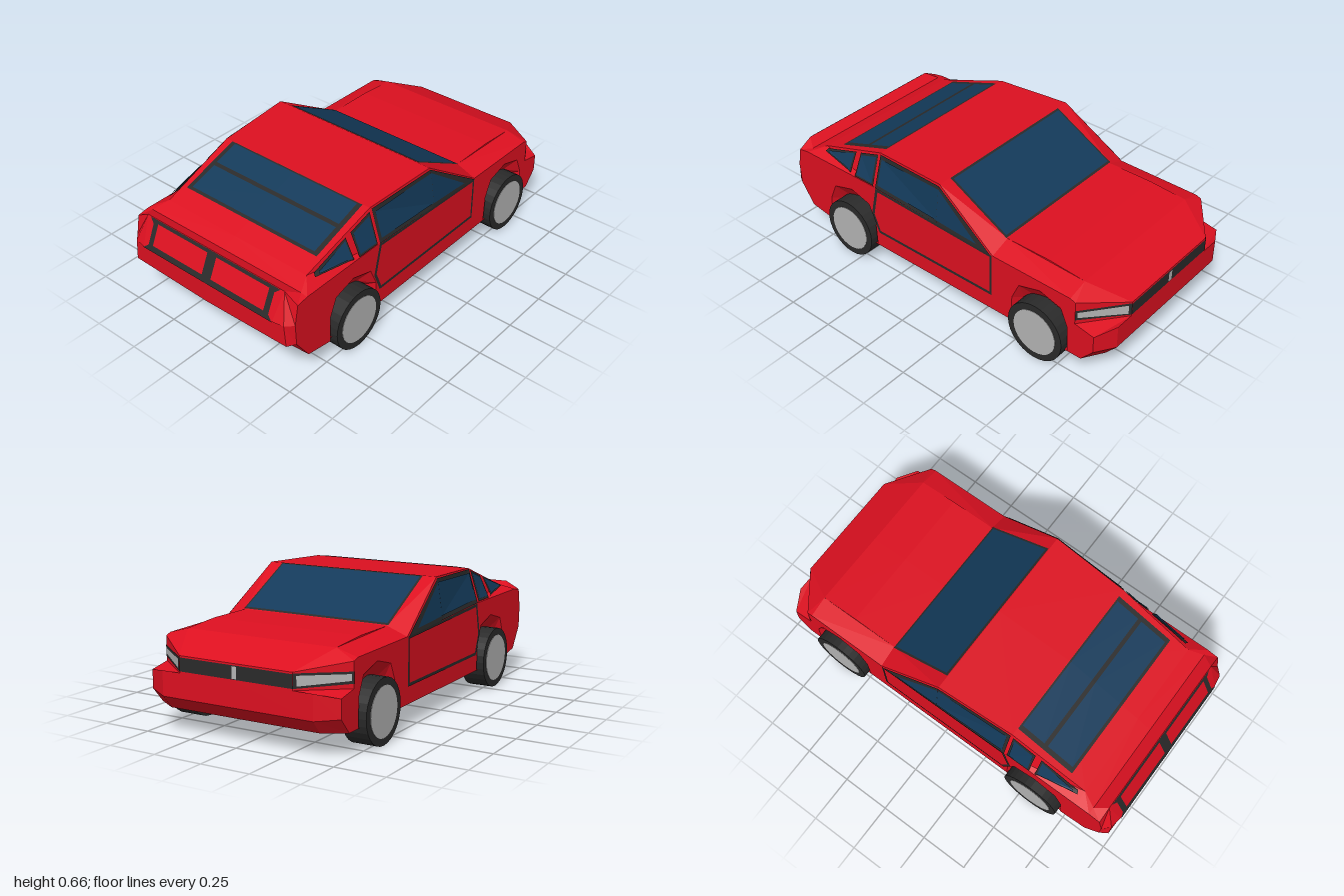
import * as THREE from 'three';

const paint = (color) => new THREE.MeshStandardMaterial({ color, flatShading: true, side: THREE.DoubleSide });
const RED = paint(0xdd1020), GLASS = paint(0x133a5a), BLACK = paint(0x2a2a2a), GREY = paint(0xb4b4b4);
const W = 0.505; // half width of the body

// Mesh from polygons on the +x half, mirrored to -x; lift moves each polygon outwards
function surface(name, material, polys, lift = 0) {
  const out = [];
  for (const poly of polys) {
    const p = poly.map((a) => new THREE.Vector3(...a));
    for (let i = 1; i < p.length - 1; i++) {
      const t = [p[0], p[i], p[i + 1]];
      const n = t[1].clone().sub(t[0]).cross(t[2].clone().sub(t[0])).normalize();
      const c = t[0].clone().add(t[1]).add(t[2]).divideScalar(3);
      const axis = new THREE.Vector3(0, 0.3, THREE.MathUtils.clamp(c.z, -0.8, 0.8));
      if (n.dot(c.sub(axis)) < 0) { n.negate(); t.reverse(); }
      const v = t.map((q) => q.clone().addScaledVector(n, lift));
      // keep the centre line closed
      v.forEach((q, k) => { if (t[k].x === 0) q.x = 0; });
      for (const q of v) out.push(q.x, q.y, q.z);
      for (const q of [v[2], v[1], v[0]]) out.push(-q.x, q.y, q.z);
    }
  }
  const g = new THREE.BufferGeometry();
  g.setAttribute('position', new THREE.Float32BufferAttribute(out, 3));
  g.computeVertexNormals();
  const m = new THREE.Mesh(g, material);
  m.name = name;
  return m;
}

// Triangles of a [z, y] outline (with optional hole) on the flat body side
function sideTriangles(outline, hole) {
  const v2 = (a) => a.map(([z, y]) => new THREE.Vector2(z, y));
  const all = hole ? [...outline, ...hole] : outline;
  return THREE.ShapeUtils.triangulateShape(v2(outline), hole ? [v2(hole)] : [])
    .map((f) => f.map((i) => [W, all[i][1], all[i][0]]));
}

// Cabin stations: z, belt height, roof edge height, roof edge half width
const cabin = [[-0.365, 0.435, 0.435, W], [-0.02, 0.45, 0.66, 0.475], [0.39, 0.47, 0.645, 0.45], [0.8, 0.47, 0.505, 0.435]];
const belt = (i) => [W, cabin[i][1], cabin[i][0]];
const roof = (i) => [cabin[i][3], cabin[i][2], cabin[i][0]];

// Point on the leaning cabin side at a given z and y
function onCabin([z, y]) {
  let i = 0;
  while (i < 2 && z > cabin[i + 1][0]) i++;
  const [a, b] = [cabin[i], cabin[i + 1]];
  const k = (z - a[0]) / (b[0] - a[0]);
  const [, lo, hi, x] = a.map((v, j) => v + (b[j] - v) * k);
  return [W + (x - W) * (y - lo) / Math.max(hi - lo, 0.001), y, z];
}
const cabinPanel = (name, mat, polys, lift) => surface(name, mat, polys.map((p) => p.map(onCabin)), lift);

// Quad on a sloped panel that is symmetric about x = 0
const quad = (f, x0, x1, a, b) => [f(x0, a), f(x1, a), f(x1, b), f(x0, b)];
const onScreen = (x, z) => [x, 0.475 + (z + 0.365) * 0.185 / 0.345, z];
const onRearGlass = (x, z) => [x, 0.645 - (z - 0.39) * 0.14 / 0.41, z];
const onTail = (x, y) => [x, y, 0.935 + (0.5 - y) * 0.065 / 0.14];
const onNose = (x, y) => [x, y, -1];
// Headlight wall: k runs from grille (0) to fender (1)
const onLamp = (k, y) => [0.3 + 0.205 * k, y, -1 + 0.16 * k];

// Wheel arch outline around z, relative to the wheel centre
const wheelZ = [-0.64, 0.565];
const ARCH = [[-0.165, -0.04], [-0.16, 0.1], [-0.12, 0.19], [0, 0.225], [0.12, 0.19], [0.16, 0.1], [0.165, -0.04]];
const arch = (cz) => ARCH.map(([z, y]) => [cz + z, 0.155 + y]);

function wheel(z, s) {
  const g = new THREE.Group();
  g.name = 'wheel';
  const disc = (name, r, w, x, mat) => {
    const m = new THREE.Mesh(new THREE.CylinderGeometry(r, r, w, 28), mat);
    m.name = name;
    m.rotation.z = Math.PI / 2;
    m.position.x = x * s;
    g.add(m);
  };
  disc('tyre', 0.155, 0.123, 0.4765, BLACK);
  disc('hub', 0.12, 0.12, 0.48, GREY);
  g.position.set(0, 0.155, z);
  return g;
}

export function createModel() {
  const car = new THREE.Group();
  car.name = 'car';

  // Flat sides with arch notches
  const sill = [[-0.88, 0.115], ...arch(wheelZ[0]), ...arch(wheelZ[1]), [0.875, 0.14]];
  const upper = [[0.95, 0.25], [0.955, 0.36], [0.935, 0.46], [0.875, 0.47], [0.8, 0.47], [0.39, 0.47], [-0.02, 0.45],
    [-0.365, 0.435], [-0.81, 0.43], [-0.84, 0.42], [-0.84, 0.3], [-0.945, 0.28], [-0.945, 0.19]];
  car.add(surface('bodySide', RED, sideTriangles([...sill, ...upper])));

  // Bevelled arch lips running in to the tyres
  const lips = [];
  for (const cz of wheelZ) {
    const o = arch(cz).map(([z, y]) => [W, y, z]);
    const i = o.map(([, y, z]) => {
      const r = Math.hypot(y - 0.155, z - cz);
      return [0.45, 0.155 + (y - 0.155) * 0.15 / r, cz + (z - cz) * 0.15 / r];
    });
    for (let k = 0; k < o.length - 1; k++) lips.push([o[k], o[k + 1], i[k + 1], i[k]]);
  }
  car.add(surface('wheelArch', RED, lips));

  // Hood, fender tops and nose
  const hood = [0.4, 0.475, -0.365], hoodFront = [0.4, 0.46, -0.81], tip = [0.3, 0.38, -1], lampEnd = [W, 0.42, -0.84];
  car.add(surface('hood', RED, [
    [[0, 0.475, -0.365], hood, [0.4, 0.475, -0.61], [0, 0.475, -0.61]],
    [[0, 0.475, -0.61], [0.4, 0.475, -0.61], hoodFront, [0, 0.46, -0.81]],
    [[0, 0.46, -0.81], hoodFront, tip, [0, 0.38, -1]],
    [hood, belt(0), [W, 0.43, -0.81], hoodFront, [0.4, 0.475, -0.61]],
    [hoodFront, [W, 0.43, -0.81], lampEnd, tip],
  ]));
  car.add(surface('frontBumper', RED, [
    [[0, 0.38, -1], tip, [0.3, 0.3, -1], [0, 0.3, -1]],
    [tip, lampEnd, [W, 0.3, -0.84], [0.3, 0.3, -1]],
    [[0.3, 0.3, -1], [0.4, 0.3, -1], [W, 0.28, -0.945], [W, 0.3, -0.84]],
    [[0, 0.3, -1], [0.4, 0.3, -1], [0.4, 0.18, -1], [0, 0.18, -1]],
    [[0.4, 0.3, -1], [W, 0.28, -0.945], [W, 0.19, -0.945], [0.4, 0.18, -1]],
    [[0, 0.18, -1], [0.4, 0.18, -1], [0.4, 0.115, -0.945], [0, 0.115, -0.945]],
    [[0.4, 0.18, -1], [W, 0.19, -0.945], [W, 0.115, -0.88], [0.4, 0.115, -0.945]],
  ]));
  car.add(surface('grille', BLACK, [quad(onNose, 0, 0.3, 0.372, 0.308)], 0.002));
  car.add(surface('grilleBar', GREY, [quad(onNose, 0, 0.012, 0.368, 0.312)], 0.004));
  car.add(surface('headlightFrame', BLACK, [[onLamp(0, 0.375), onLamp(1, 0.375), onLamp(1, 0.322), onLamp(0, 0.308)]], 0.002));
  car.add(surface('headlight', GREY, [[onLamp(0.06, 0.365), onLamp(0.96, 0.365), onLamp(0.96, 0.335), onLamp(0.06, 0.318)]], 0.004));

  // Cabin shell
  const mid = ([, y, z]) => [0, y, z];
  const shell = [[mid(hood), hood, roof(1), mid(roof(1))], [hood, belt(0), roof(1)], [belt(0), belt(1), roof(1)]];
  for (const i of [1, 2]) {
    shell.push([mid(roof(i)), roof(i), roof(i + 1), mid(roof(i + 1))]);
    shell.push([belt(i), belt(i + 1), roof(i + 1), roof(i)]);
  }
  car.add(surface('cabin', RED, shell));

  // Windscreen and slatted rear window
  car.add(surface('windscreenFrame', BLACK, [quad(onScreen, 0, 0.405, -0.362, -0.022)], 0.002));
  car.add(surface('windscreen', GLASS, [quad(onScreen, 0, 0.395, -0.352, -0.032)], 0.004));
  car.add(surface('rearWindowFrame', BLACK, [quad(onRearGlass, 0, 0.41, 0.392, 0.705)], 0.002));
  car.add(surface('rearWindow', GLASS, [quad(onRearGlass, 0, 0.385, 0.4, 0.525), quad(onRearGlass, 0, 0.385, 0.545, 0.69)], 0.004));

  // Door outline and side windows
  const door = [[-0.36, 0.436], [-0.36, 0.2], [0.38, 0.2], [0.422, 0.305], [0.385, 0.468]];
  const inner = [[-0.348, 0.424], [-0.348, 0.215], [0.37, 0.215], [0.405, 0.305], [0.372, 0.452]];
  car.add(surface('doorSeam', BLACK, sideTriangles(door, inner), 0.003));
  car.add(cabinPanel('doorWindowFrame', BLACK, [
    [[-0.02, 0.451], [0.385, 0.47], [0.385, 0.64], [-0.02, 0.652]],
    [[-0.355, 0.436], [-0.02, 0.451], [-0.02, 0.652]],
  ], 0.005));
  car.add(cabinPanel('doorWindow', GLASS, [
    [[-0.02, 0.472], [0.37, 0.49], [0.37, 0.622], [-0.02, 0.635]],
    [[-0.27, 0.457], [-0.02, 0.472], [-0.02, 0.635]],
  ], 0.008));
  car.add(cabinPanel('quarterWindowFrame', BLACK, [
    [[0.4, 0.475], [0.528, 0.475], [0.528, 0.588], [0.4, 0.632]],
    [[0.56, 0.48], [0.78, 0.495], [0.77, 0.508], [0.56, 0.578]],
  ], 0.005));
  car.add(cabinPanel('quarterWindow', GLASS, [
    [[0.41, 0.485], [0.518, 0.485], [0.518, 0.58], [0.41, 0.617]],
    [[0.57, 0.488], [0.755, 0.499], [0.75, 0.507], [0.57, 0.566]],
  ], 0.008));

  // Rear deck, spoiler lip and bumper
  const deck = [0.47, 0.475, 0.875], lip = [0.43, 0.5, 0.935], shoulder = [W, 0.46, 0.935];
  const low = [0.48, 0.25, 0.99], edge = [0.47, 0.36, 0.99];
  car.add(surface('rearDeck', RED, [
    [mid(roof(3)), roof(3), deck, mid(deck)],
    [roof(3), belt(3), [W, 0.47, 0.875], deck],
    [mid(deck), deck, lip, mid(lip)],
    [deck, [W, 0.47, 0.875], shoulder, lip],
  ]));
  car.add(surface('rearBumper', RED, [
    [mid(lip), lip, [0.41, 0.36, 1], [0, 0.36, 1]],
    [lip, shoulder, [W, 0.36, 0.955], edge, [0.41, 0.36, 1]],
    [[0, 0.36, 1], [0.41, 0.36, 1], edge, low, [0, 0.25, 1]],
    [edge, [W, 0.36, 0.955], [W, 0.25, 0.95], low],
    [[0, 0.25, 1], low, [W, 0.25, 0.95], [W, 0.14, 0.875], [0, 0.14, 0.875]],
  ]));
  const tail = [[0, 0.498], [0.41, 0.498], [0.382, 0.475], [0.382, 0.38], [0.41, 0.358], [0, 0.358]];
  car.add(surface('tailPanel', BLACK, [tail.map(([x, y]) => onTail(x, y)).slice(0, 3).concat([onTail(0.382, 0.38), onTail(0, 0.358)]),
    [onTail(0, 0.358), onTail(0.382, 0.38), onTail(0.41, 0.358)]], 0.002));
  car.add(surface('tailLight', RED, [quad(onTail, 0.028, 0.352, 0.483, 0.385)], 0.004));

  // Floor
  car.add(surface('floor', RED, [
    [[0, 0.115, -0.945], [0.4, 0.115, -0.945], [W, 0.115, -0.88], [W, 0.115, 0.41], [0, 0.115, 0.41]],
    [[0, 0.115, 0.41], [W, 0.115, 0.41], [W, 0.135, 0.73], [0, 0.135, 0.73]],
    [[0, 0.135, 0.73], [W, 0.135, 0.73], [W, 0.14, 0.875], [0, 0.14, 0.875]],
  ]));

  for (const z of wheelZ) for (const s of [-1, 1]) car.add(wheel(z, s));
  return car;
}
